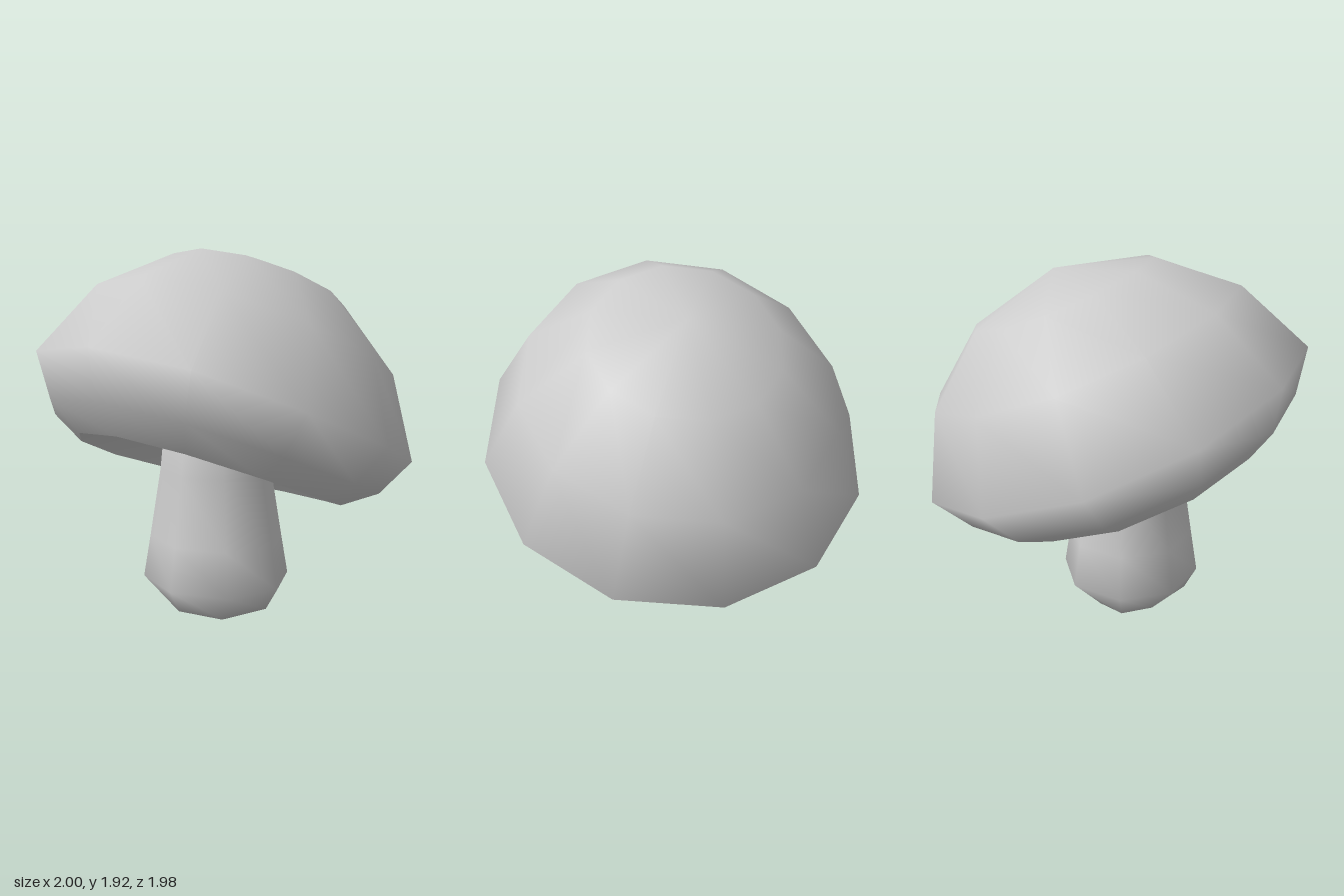
import * as THREE from 'three';
import { mergeVertices } from 'three/addons/utils/BufferGeometryUtils.js';

const material = new THREE.MeshStandardMaterial({ color: 0xcccccc, side: THREE.DoubleSide });

// Revolve a profile (listed bottom to top), reshape its vertices, then weld for smooth shading.
function revolve(name, profile, sides, reshape) {
  const points = profile.map(([r, y]) => new THREE.Vector2(r, y));
  let geometry = new THREE.LatheGeometry(points, sides);
  const position = geometry.attributes.position;
  const v = new THREE.Vector3();
  for (let i = 0; i < position.count; i++) {
    v.fromBufferAttribute(position, i);
    // Lathe vertices run along the profile, one side after another.
    reshape(v, i % profile.length, Math.floor(i / profile.length));
    position.setXYZ(i, v.x, v.y, v.z);
  }
  geometry.deleteAttribute('normal');
  geometry.deleteAttribute('uv');
  geometry = mergeVertices(geometry, 1e-4);
  geometry.computeVertexNormals();
  const mesh = new THREE.Mesh(geometry, material);
  mesh.name = name;
  return mesh;
}

export function createModel() {
  const model = new THREE.Group();
  model.name = 'mushroom';

  // Cap: a domed shell over a shallow hollow, drooping a little at its sides.
  const droop = (v) => {
    v.x *= 0.936;
    v.y -= 0.08 * v.x * v.x;
  };
  const cap = new THREE.Group();
  cap.name = 'cap';
  cap.add(
    revolve('capShell', [
      [0.747, -0.34], [0.933, -0.217], [1.068, 0],
      [0.86, 0.405], [0.505, 0.685], [0, 0.815],
    ], 12, droop),
    revolve('capUnderside', [[0, -0.15], [0.45, -0.18], [0.747, -0.34]].map(([r, y]) => [r, y]), 12, droop),
  );
  cap.position.y = 1.1;
  cap.rotation.set(-0.384, 0, -0.015);
  model.add(cap);

  // Stem: eight sides, tapering upward, with a rounded foot squared off underneath.
  const stem = revolve('stem', [
    [0, 0], [0.335, 0.07], [0.405, 0.19], [0.365, 0.42],
    [0.305, 0.78], [0.285, 0.97], [0.22, 1.1], [0, 1.14],
  ], 8, (v, ring, side) => {
    if (ring === 1 && side % 2 === 1) {
      v.x *= 0.66;
      v.z *= 0.66;
      v.y = 0.01;
    }
    v.z *= 0.92;
  });
  stem.position.set(0.01, 0, 0.1);
  model.add(stem);

  return model;
}
